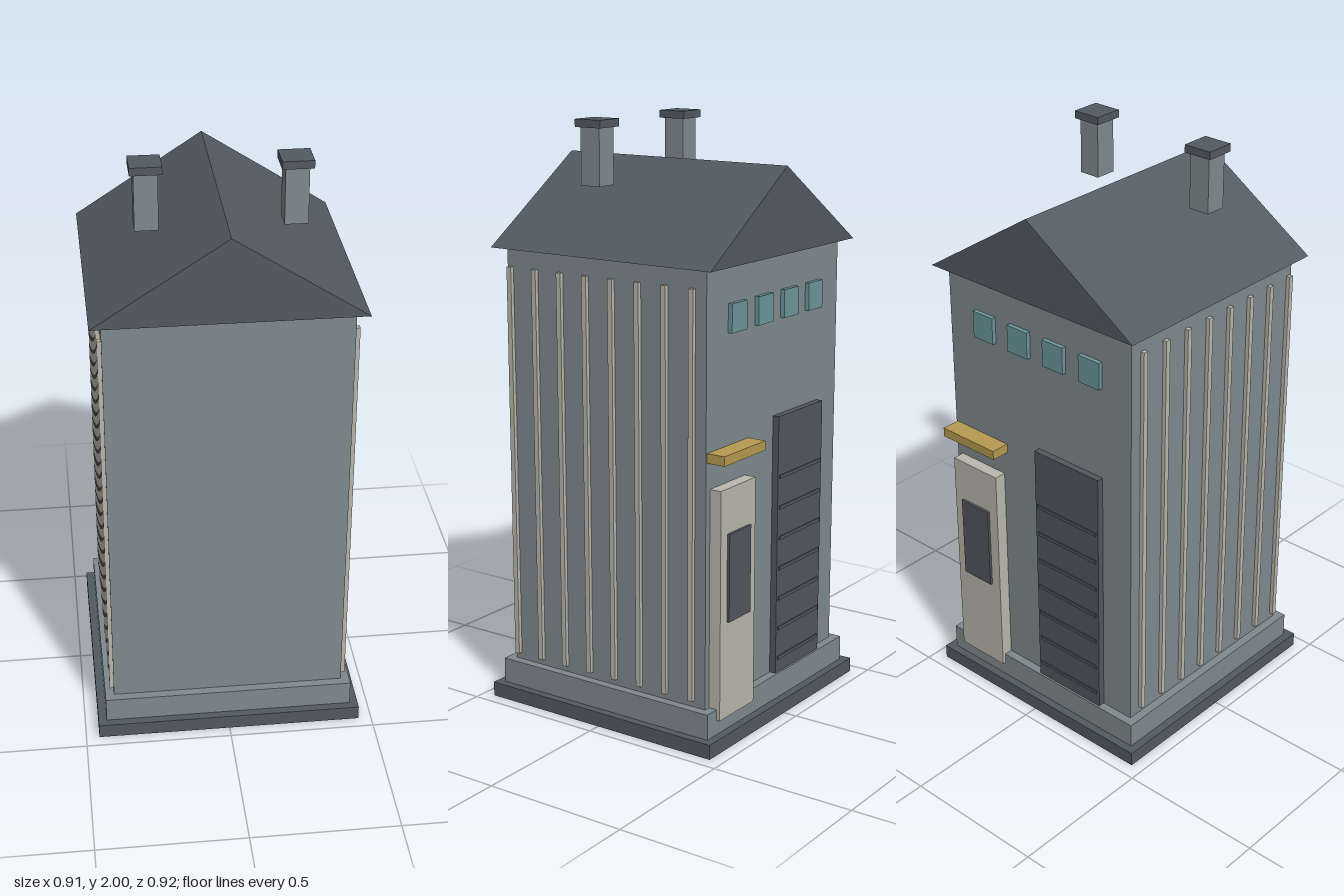
import * as THREE from 'three';

const mat = (name, color) => {
  const m = new THREE.MeshStandardMaterial({ color });
  m.name = name;
  return m;
};

export function createModel() {
  const house = new THREE.Group();
  house.name = 'house';

  const wall = mat('wall grey', 0x7f8a8e);
  const slate = mat('slate', 0x515a61);
  const shutterGrey = mat('shutter grey', 0x52575f);
  const cream = mat('cream', 0xbbb7ad);
  const glass = mat('window teal', 0x6c969d);
  const gold = mat('canopy gold', 0xb79a52);

  // Box given by its limits on each axis
  const box = (name, material, [x0, x1], [y0, y1], [z0, z1]) => {
    const mesh = new THREE.Mesh(new THREE.BoxGeometry(x1 - x0, y1 - y0, z1 - z0), material);
    mesh.position.set((x0 + x1) / 2, (y0 + y1) / 2, (z0 + z1) / 2);
    mesh.name = name;
    house.add(mesh);
    return mesh;
  };

  // Base, plinth and walls
  box('base', slate, [-0.455, 0.455], [0, 0.05], [-0.452, 0.458]);
  box('plinth', wall, [-0.427, 0.427], [0.05, 0.137], [-0.424, 0.43]);
  box('walls', wall, [-0.397, 0.397], [0.137, 1.58], [-0.394, 0.4]);

  // Gabled roof with its ridge running front to back
  const gable = new THREE.Shape([
    new THREE.Vector2(-0.435, 1.58),
    new THREE.Vector2(0.435, 1.58),
    new THREE.Vector2(0, 1.863),
  ]);
  const roof = new THREE.Mesh(
    new THREE.ExtrudeGeometry(gable, { depth: 0.872, bevelEnabled: false }), slate);
  roof.position.z = -0.433;
  roof.name = 'roof';
  house.add(roof);

  // Both sides: chimney and upright wall strips
  for (const side of [-1, 1]) {
    const cx = side * 0.235, cz = 0.147;
    box('chimney', wall, [cx - 0.038, cx + 0.038], [1.785, 1.974], [cz - 0.038, cz + 0.038]);
    box('chimneyCap', slate, [cx - 0.051, cx + 0.051], [1.974, 2], [cz - 0.051, cz + 0.051]);
    for (let i = 0; i < 8; i++) {
      const z = 0.385 - i * 0.104, x = side * 0.402;
      box('wallStrip', cream, [x - 0.009, x + 0.009], [0.16, 1.517], [z - 0.009, z + 0.009]);
    }
  }

  // Row of small windows high on the back
  for (let i = 0; i < 4; i++) {
    const x = (i - 1.5) * 0.155;
    box('window', glass, [x - 0.044, x + 0.044], [1.363, 1.457], [-0.409, -0.39]);
  }

  // Roller shutter with thin ribs
  box('shutter', shutterGrey, [-0.276, 0.004], [0.1, 1.04], [-0.417, -0.39]);
  for (let i = 0; i < 7; i++) {
    const y = 0.19 + i * 0.107;
    box('shutterRib', shutterGrey, [-0.266, -0.006], [y - 0.006, y + 0.006], [-0.421, -0.415]);
  }

  // Door, its dark pane and the canopy above
  box('door', cream, [0.172, 0.374], [0.1, 0.877], [-0.436, -0.39]);
  box('doorPane', shutterGrey, [0.21, 0.336], [0.43, 0.727], [-0.445, -0.436]);
  box('canopy', gold, [0.154, 0.392], [0.966, 0.998], [-0.46, -0.39]);

  return house;
}
